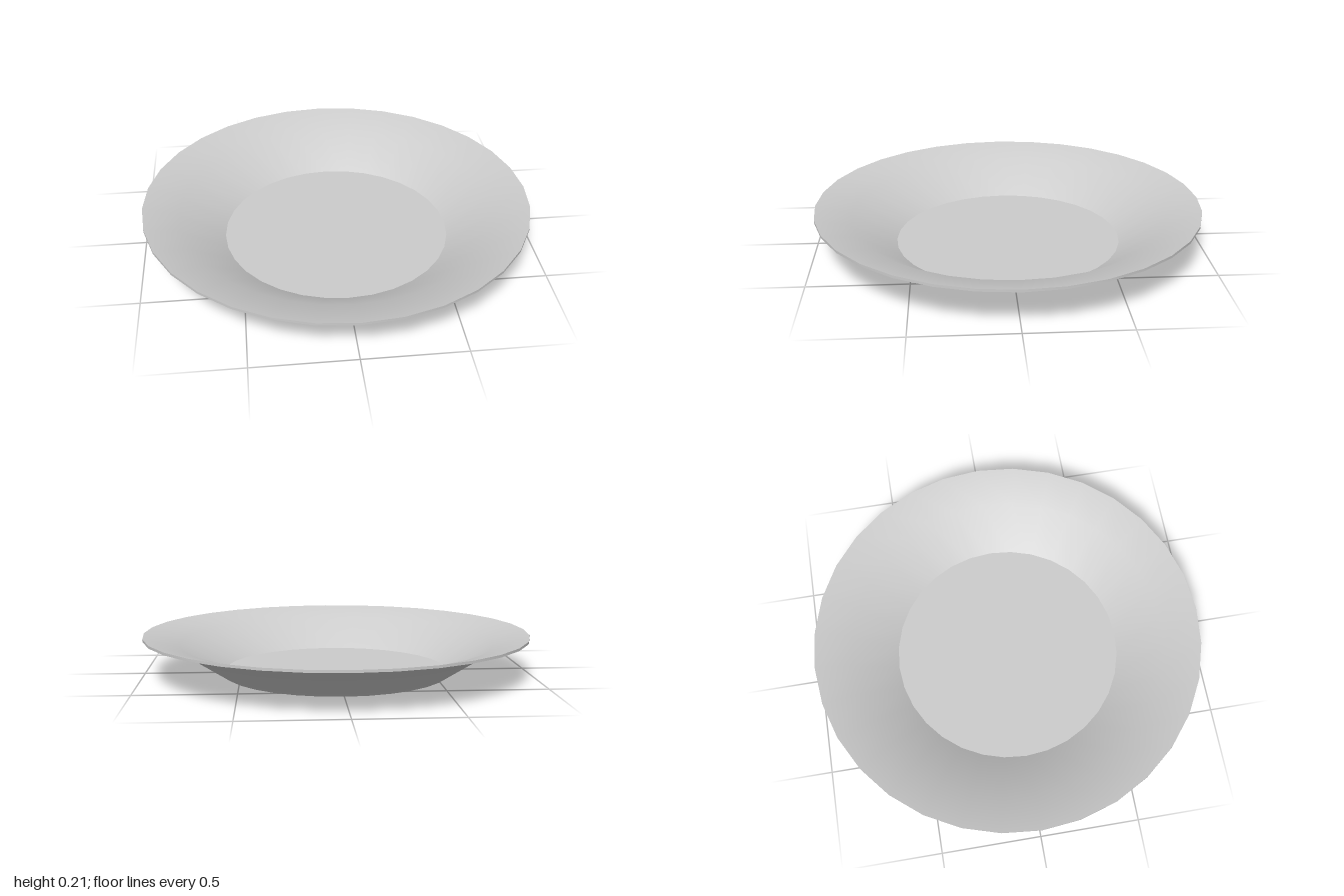
import * as THREE from 'three';
import { toCreasedNormals } from 'three/addons/utils/BufferGeometryUtils.js';

export function createModel() {
  const model = new THREE.Group();
  model.name = 'dish';

  // Closed cross-section: underside, outer wall, rim edge, inner wall, floor
  const profile = [
    [0, 0], [0.59, 0], [0.82, 0.15], [1, 0.2],
    [1, 0.213], [0.816, 0.165], [0.585, 0.015], [0, 0.015],
  ].map(([r, y]) => new THREE.Vector2(r, y));

  // Smooth walls, sharp edges at the foot, floor and rim
  const geometry = toCreasedNormals(new THREE.LatheGeometry(profile, 32), THREE.MathUtils.degToRad(25));
  const plate = new THREE.Mesh(geometry, new THREE.MeshStandardMaterial({ color: 0xcccccc }));
  plate.name = 'plate';
  model.add(plate);

  return model;
}
